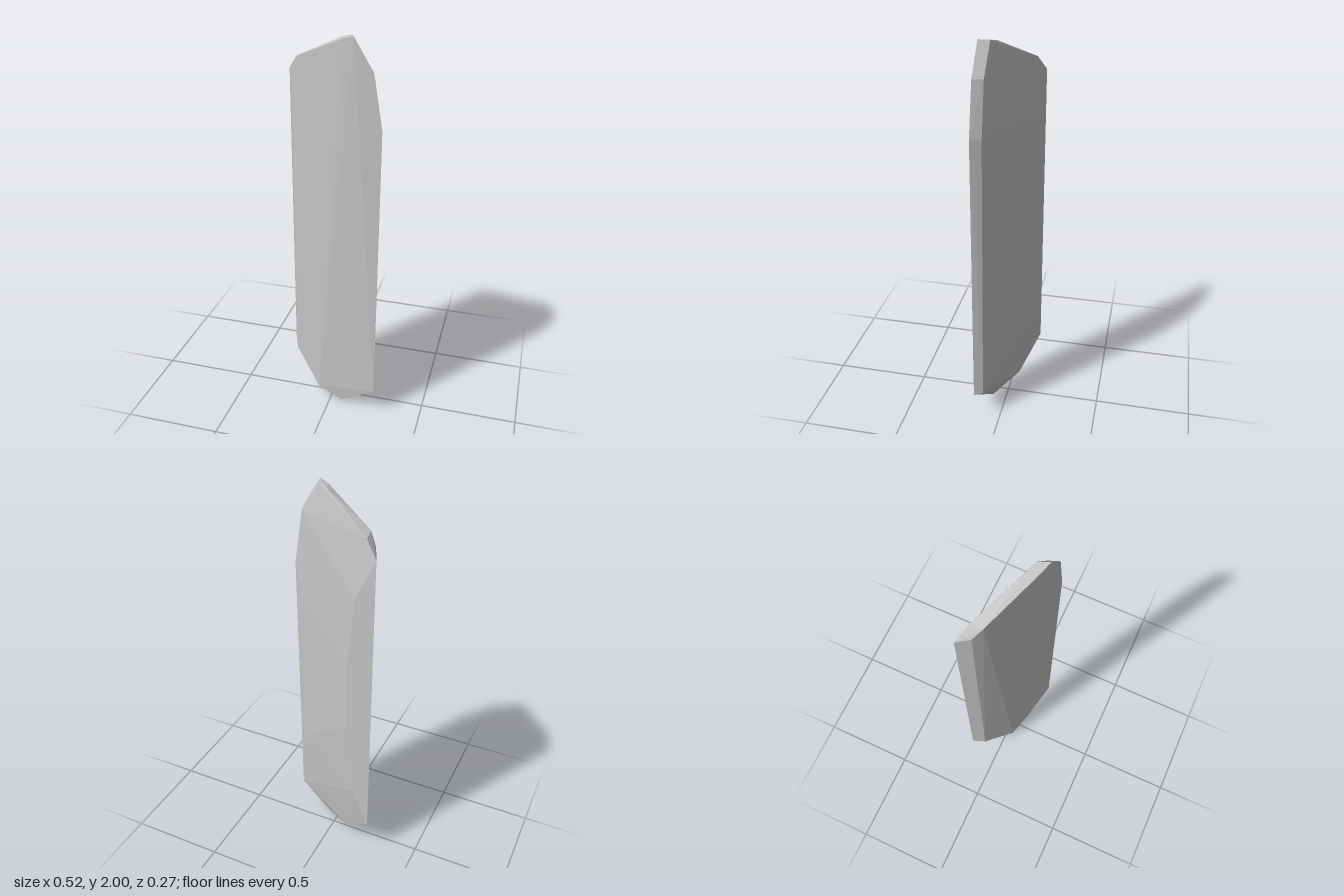
import * as THREE from 'three';
import { ConvexGeometry } from 'three/addons/geometries/ConvexGeometry.js';

export function createModel() {
  const group = new THREE.Group();
  const stone = new THREE.MeshStandardMaterial({ color: 0xc4c4c4 });
  stone.name = 'pale grey stone';

  // Corners of the chipped slab, as x, y, z
  const corners = [
    // sharp side edge and the facet in front of it
    [-0.26, 0.22, -0.135], [-0.26, 1.78, -0.135],
    [-0.23, 0.2, -0.07], [-0.23, 1.81, -0.07],
    // sloping top
    [-0.2, 1.855, -0.1], [-0.19, 1.865, -0.035],
    [0.055, 1.985, 0.04], [0.07, 1.985, 0.092],
    [0.1, 1.995, 0.058], [0.12, 2, 0.11],
    // blunt side edge
    [0.195, 1.85, 0.066], [0.215, 1.85, 0.117],
    [0.238, 1.58, 0.07], [0.26, 1.59, 0.122],
    [0.24, 0.15, 0.087], [0.256, 0.145, 0.133],
    // pointed base
    [0.06, 0, 0.07], [-0.075, 0.045, 0.04], [-0.1, 0.055, -0.045],
    // shallow ridges of the back
    [-0.12, 1.2, -0.117], [-0.12, 0.82, -0.117],
    [-0.16, 1.57, -0.122], [-0.16, 0.41, -0.122],
    [0.183, 1.4, 0.034], [0.183, 0.55, 0.036],
  ].map((p) => new THREE.Vector3(...p));

  const slab = new THREE.Mesh(new ConvexGeometry(corners), stone);
  slab.name = 'stoneSlab';
  group.add(slab);
  return group;
}
